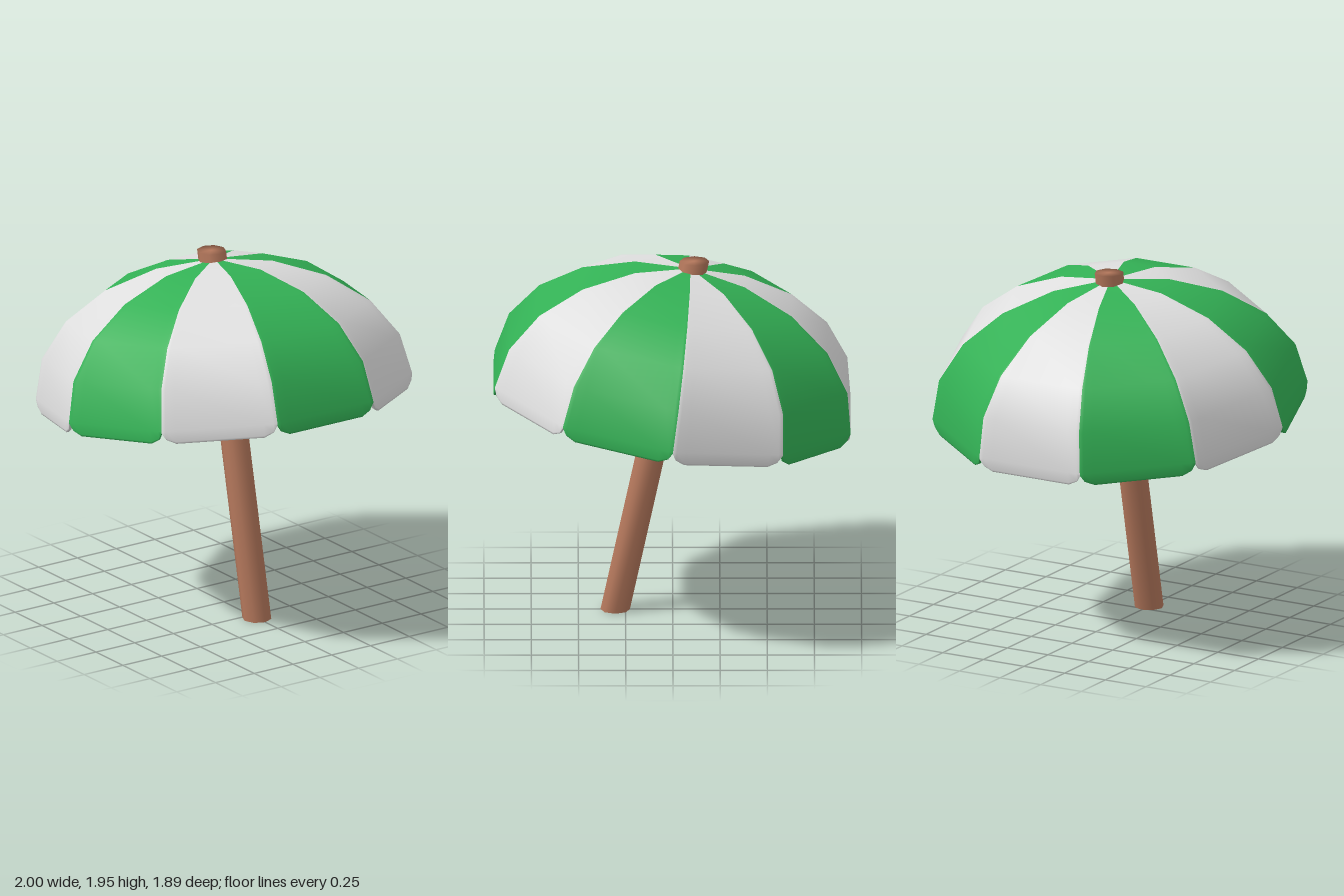
import * as THREE from 'three';
import { mergeVertices } from 'three/addons/utils/BufferGeometryUtils.js';

const PANELS = 10, HEIGHT = 0.695, TILT = THREE.MathUtils.degToRad(7.8);

// Position along a panel's chord, and how far the scalloped hem hangs there
const COLUMNS = [[0, 0.008], [0.035, 0.045], [0.12, 0.07], [0.88, 0.07], [0.965, 0.045]];

// Closed canopy shell: down the outside, round the hem, back up the inside
function canopyGeometry() {
  const rows = [];
  for (let i = 0; i <= 5; i++) {
    const a = i * Math.PI / 10;
    rows.push([Math.sin(a), HEIGHT * Math.cos(a), 0]);
  }
  rows.push([1, 0, 0.85], [0.996, 0, 1], [0.98, 0, 1], [0.976, 0, 0.7]);
  for (let i = 5; i >= 0; i--) {
    const a = i * Math.PI / 10;
    rows.push([0.976 * Math.sin(a), (HEIGHT - 0.02) * Math.cos(a), 0]);
  }

  const positions = [], index = [];
  const n = PANELS * COLUMNS.length;
  const step = Math.PI * 2 / PANELS;
  for (const [r, y, drop] of rows) {
    for (let p = 0; p < PANELS; p++) {
      const a0 = (p - 0.5) * step, a1 = a0 + step;
      for (const [f, hang] of COLUMNS) {
        positions.push(
          r * THREE.MathUtils.lerp(Math.sin(a0), Math.sin(a1), f),
          y - drop * hang,
          r * THREE.MathUtils.lerp(Math.cos(a0), Math.cos(a1), f));
      }
    }
  }

  // One material group per panel, alternating the two colours
  const geometry = new THREE.BufferGeometry();
  for (let p = 0; p < PANELS; p++) {
    const start = index.length;
    for (let i = 0; i < rows.length - 1; i++) {
      for (let c = 0; c < COLUMNS.length; c++) {
        const j = p * COLUMNS.length + c, k = (j + 1) % n;
        const a = i * n + j, b = a + n, d = i * n + k, e = d + n;
        index.push(a, b, e, a, e, d);
      }
    }
    geometry.addGroup(start, index.length - start, p % 2);
  }
  geometry.setAttribute('position', new THREE.Float32BufferAttribute(positions, 3));
  geometry.setIndex(index);
  geometry.computeVertexNormals();
  return geometry;
}

// Eight-sided pole, sheared so it leans back while its ends stay level
function poleGeometry() {
  const height = 1.95;
  let g = new THREE.CylinderGeometry(0.078, 0.078, height, 8);
  g.translate(0, height / 2, 0);
  g.deleteAttribute('normal');
  g.deleteAttribute('uv');
  const pos = g.attributes.position;
  for (let i = 0; i < pos.count; i++) {
    pos.setZ(i, pos.getZ(i) + 0.305 - 0.42 * pos.getY(i) / height);
  }
  g = mergeVertices(g);
  g.computeVertexNormals();
  return g;
}

export function createModel() {
  const material = (name, color) => {
    const m = new THREE.MeshStandardMaterial({ color });
    m.name = name;
    return m;
  };
  const green = material('green cloth', 0x33b155);
  const white = material('white cloth', 0xdedede);
  const wood = material('brown wood', 0xb5785c);

  const model = new THREE.Group();
  model.name = 'parasol';

  const canopy = new THREE.Mesh(canopyGeometry(), [green, white]);
  canopy.name = 'canopy';
  canopy.position.y = 1.22;
  canopy.rotation.x = -TILT;

  const pole = new THREE.Mesh(poleGeometry(), wood);
  pole.name = 'pole';

  model.add(canopy, pole);
  return model;
}
